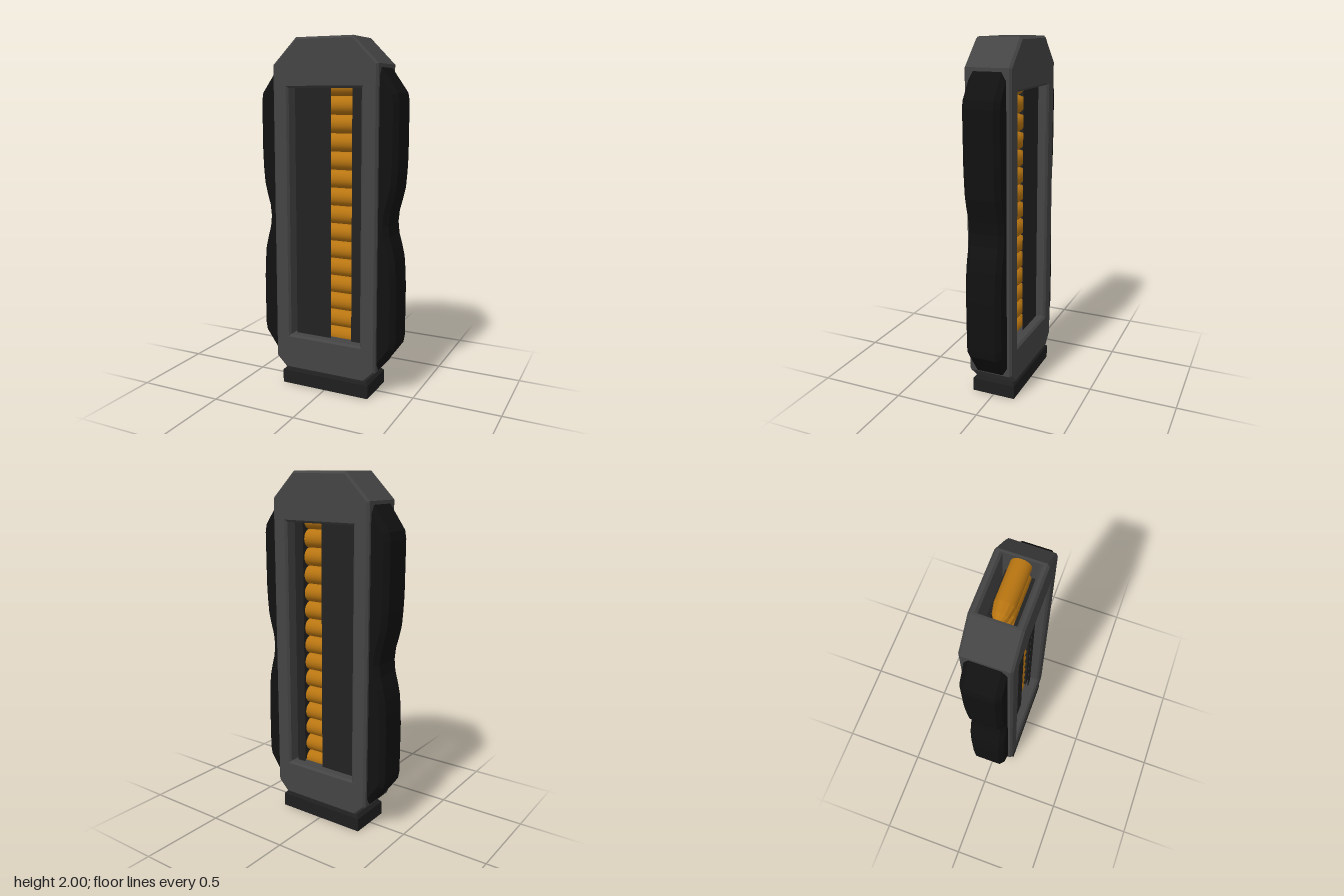
import * as THREE from 'three';

const material = (color) => new THREE.MeshStandardMaterial({ color, flatShading: true });

const shapeOf = (points) => new THREE.Shape(points.map(([x, y]) => new THREE.Vector2(x, y)));
const rectangle = (x0, x1, y0, y1) => shapeOf([[x0, y0], [x0, y1], [x1, y1], [x1, y0]]);

// Extrudes a shape between two z values, with chamfers that stay inside the outline
function slab(shape, z0, z1, bevel = 0) {
  const geometry = new THREE.ExtrudeGeometry(shape, {
    depth: z1 - z0 - 2 * bevel,
    bevelEnabled: bevel > 0,
    bevelThickness: bevel,
    bevelSize: bevel,
    bevelOffset: -bevel,
    bevelSegments: 1,
  });
  return geometry.translate(0, 0, z0 + bevel);
}

export function createModel() {
  const model = new THREE.Group();
  model.name = 'cartridgeMagazine';

  const frameMat = material(0x444444);
  const casingMat = material(0x222222);
  const gripMat = material(0x111111);
  const baseMat = material(0x1e1e1e);
  const brassMat = new THREE.MeshStandardMaterial({ color: 0xb87511 });

  const add = (name, geometry, mat, parent = model) => {
    const mesh = new THREE.Mesh(geometry, mat);
    mesh.name = name;
    parent.add(mesh);
    return mesh;
  };

  // Frame: two windowed faces around a core that is open at the top
  const frame = new THREE.Group();
  frame.name = 'frame';
  model.add(frame);
  const lower = [[-0.17, 2], [-0.315, 1.855], [-0.315, 0.16], [-0.25, 0.095],
    [0.25, 0.095], [0.315, 0.16], [0.315, 1.855], [0.17, 2]];
  const face = shapeOf(lower);
  face.holes.push(rectangle(-0.22, 0.22, 0.305, 1.73));
  add('frontFace', slab(face, 0.09, 0.13, 0.012), frameMat, frame);
  add('backFace', slab(face, -0.13, -0.09, 0.012), frameMat, frame);
  const core = shapeOf([...lower, [0.157, 2], [0.157, 1.73], [0.22, 1.73], [0.22, 0.305],
    [-0.22, 0.305], [-0.22, 1.73], [-0.157, 1.73], [-0.157, 2]]);
  add('frameCore', slab(core, -0.102, 0.102), frameMat, frame);

  // Inner casing: slotted walls front and back, closed sides
  const casing = new THREE.Group();
  casing.name = 'innerCasing';
  model.add(casing);
  const wall = rectangle(-0.203, 0.203, 0.25, 1.85);
  wall.holes.push(rectangle(0.02, 0.147, 0.28, 1.76));
  add('casingFront', slab(wall, 0.054, 0.076), casingMat, casing);
  add('casingBack', slab(wall, -0.076, -0.054), casingMat, casing);
  for (const side of [-1, 1]) {
    const geometry = new THREE.BoxGeometry(0.04, 1.48, 0.12).translate(side * 0.183, 1.01, 0);
    add(side > 0 ? 'casingLeftSide' : 'casingRightSide', geometry, casingMat, casing);
  }

  // Stack of cartridges lying along x, tips toward -x
  const cartridges = new THREE.Group();
  cartridges.name = 'cartridges';
  model.add(cartridges);
  const caseGeometry = new THREE.CylinderGeometry(0.052, 0.052, 0.217, 20)
    .rotateZ(Math.PI / 2).translate(0.0485, 0, 0);
  const tipProfile = [[0.052, 0], [0.041, 0.053], [0.022, 0.085], [0, 0.097]]
    .map(([r, y]) => new THREE.Vector2(r, y));
  const tipGeometry = new THREE.LatheGeometry(tipProfile, 12)
    .rotateZ(Math.PI / 2).translate(-0.06, 0, 0);
  const tipMat = material(0xb87511);
  for (let i = 0; i < 17; i++) {
    const cartridge = new THREE.Group();
    cartridge.name = 'cartridge';
    cartridge.position.y = 1.942 - i * 0.102;
    add('cartridgeCase', caseGeometry, brassMat, cartridge);
    add('cartridgeTip', tipGeometry, tipMat, cartridge);
    if (cartridge.position.y > 0.3) cartridges.add(cartridge);
  }

  // Waisted side grips, symmetric about y = 1
  const half = [[0.365, 0], [0.372, 0.065], [0.39, 0.13], [0.405, 0.195], [0.412, 0.28],
    [0.416, 0.37], [0.416, 0.66], [0.408, 0.705], [0.312, 0.84], [0.27, 0.84]];
  const outline = [...half.slice(1).reverse().map(([x, y]) => [x, 1 - y]),
    ...half.map(([x, y]) => [x, 1 + y])];
  for (const side of [-1, 1]) {
    const grip = shapeOf(outline.map(([x, y]) => [side * x, y]));
    add(side > 0 ? 'leftGrip' : 'rightGrip', slab(grip, -0.104, 0.104, 0.026), gripMat);
  }

  // Base plate with a chamfered upper rim
  add('basePlate', new THREE.BoxGeometry(0.544, 0.078, 0.256).translate(0, 0.039, 0), baseMat);
  const rim = new THREE.BoxGeometry(0.544, 0.022, 0.256).translate(0, 0.089, 0);
  const p = rim.attributes.position;
  for (let i = 0; i < p.count; i++) {
    if (p.getY(i) > 0.09) p.setXYZ(i, p.getX(i) * 0.92, p.getY(i), p.getZ(i) * 0.86);
  }
  rim.computeVertexNormals();
  add('basePlateRim', rim, baseMat);

  return model;
}
